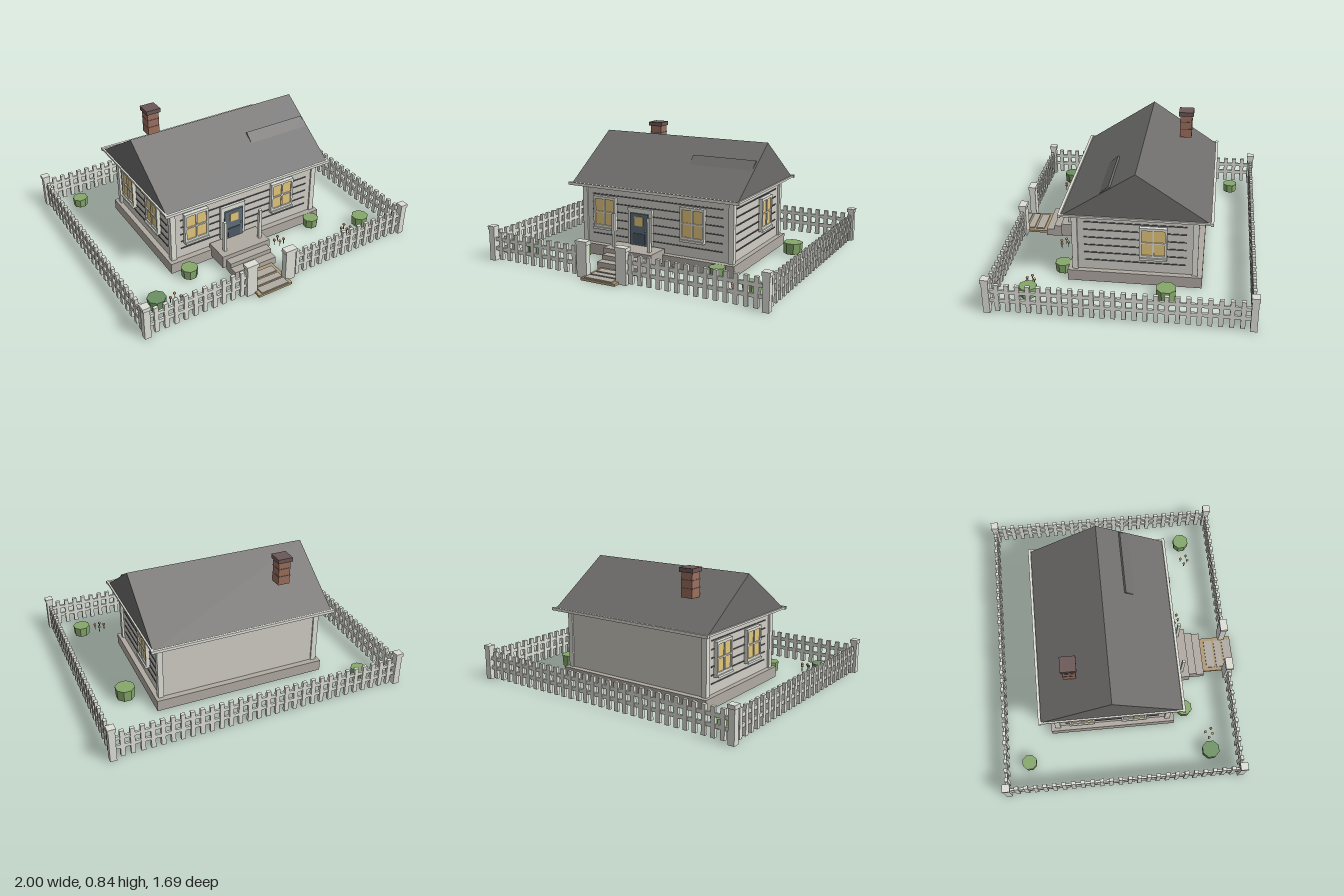
import * as THREE from 'three';

const C = {
  wall: 0xd0cdc5, trim: 0xdedfd6, roof: 0x6e6d6c, stone: 0xb0aaa2, line: 0x55565a, glass: 0xe3c67c,
  door: 0x5f6e7a, panel: 0x4d5a66, brick: 0x9c6f5c, cap: 0x6b5856, wood: 0xb09a74, leaf: 0x86a86c, darkLeaf: 0x6c9163,
};
const cache = {};
const mat = (color) => (cache[color] ??= new THREE.MeshStandardMaterial({ color, flatShading: true }));

function add(parent, name, geometry, color, x = 0, y = 0, z = 0) {
  const mesh = new THREE.Mesh(geometry, mat(color));
  mesh.name = name;
  mesh.position.set(x, y, z);
  parent.add(mesh);
  return mesh;
}

// Box given by its extents on each axis
function box(parent, name, color, x0, x1, y0, y1, z0, z1) {
  return add(parent, name, new THREE.BoxGeometry(x1 - x0, y1 - y0, z1 - z0), color,
    (x0 + x1) / 2, (y0 + y1) / 2, (z0 + z1) / 2);
}

function group(parent, name, x = 0, y = 0, z = 0, turn = 0) {
  const g = new THREE.Group();
  g.name = name;
  g.position.set(x, y, z);
  g.rotation.y = turn;
  parent.add(g);
  return g;
}

// Triangular prism with its ridge along x
function gable(parent, name, x0, x1, zMid, halfDepth, y0, y1) {
  const s = new THREE.Shape([
    new THREE.Vector2(-halfDepth, y0), new THREE.Vector2(halfDepth, y0), new THREE.Vector2(0, y1),
  ]);
  const g = new THREE.ExtrudeGeometry(s, { depth: x1 - x0, bevelEnabled: false });
  g.rotateY(Math.PI / 2);
  return add(parent, name, g, C.roof, x0, 0, zMid);
}

// Window facing local +z, origin at its centre on the wall
function windowUnit(parent, x, z, turn) {
  const w = group(parent, 'window', x, 0.3, z, turn);
  box(w, 'windowPane', C.glass, -0.073, 0.073, -0.092, 0.092, 0, 0.018);
  for (const s of [-1, 1]) {
    box(w, 'windowSideFrame', C.trim, s * 0.08 - 0.007, s * 0.08 + 0.007, -0.105, 0.105, 0, 0.026);
    box(w, 'windowRail', C.trim, -0.087, 0.087, s * 0.098 - 0.009, s * 0.098 + 0.009, 0, 0.026);
  }
  box(w, 'windowMullion', C.trim, -0.005, 0.005, -0.092, 0.092, 0, 0.025);
  box(w, 'windowCrossbar', C.trim, -0.075, 0.075, -0.005, 0.005, 0, 0.025);
  box(w, 'windowSill', C.trim, -0.087, 0.087, -0.12, -0.105, 0, 0.035);
}

function buildHouse(root) {
  const h = group(root, 'house');
  box(h, 'foundation', C.stone, -0.585, 0.585, 0, 0.075, -0.505, 0.355);
  box(h, 'walls', C.wall, -0.55, 0.55, 0.075, 0.485, -0.465, 0.315);
  for (const x of [-0.547, 0.547]) for (const z of [-0.457, 0.307])
    box(h, 'cornerBoard', C.trim, x - 0.018, x + 0.018, 0.075, 0.485, z - 0.018, z + 0.018);

  // Siding grooves on the front and both ends
  for (let i = 0; i < 6; i++) {
    const y = 0.417 - i * 0.055;
    box(h, 'frontSidingLine', C.line, -0.49, 0.49, y - 0.004, y + 0.004, 0.312, 0.319);
    for (const x of [-0.55, 0.55])
      box(h, 'endSidingLine', C.line, x - 0.004, x + 0.004, y - 0.004, y + 0.004, -0.4, 0.25);
  }

  // Roof with a small low gable pushed through the front slope
  gable(h, 'mainRoof', -0.615, 0.612, -0.083, 0.467, 0.48, 0.79);
  gable(h, 'smallRoof', 0.155, 0.6, 0.08, 0.245, 0.467, 0.698);
  for (const z of [-0.553, 0.388])
    box(h, 'eaveBoard', C.trim, -0.63, 0.627, 0.476, 0.495, z - 0.009, z + 0.009);
  for (const x of [-0.619, 0.616])
    box(h, 'gableBoard', C.trim, x - 0.007, x + 0.007, 0.48, 0.493, -0.55, 0.385);

  windowUnit(h, -0.383, 0.315, 0);
  windowUnit(h, 0.28, 0.315, 0);
  windowUnit(h, 0.55, -0.192, Math.PI / 2);
  for (const z of [-0.285, 0.07]) windowUnit(h, -0.55, z, -Math.PI / 2);

  // Front door
  const d = group(h, 'door', -0.107, 0, 0.315);
  box(d, 'doorFrame', C.trim, -0.092, 0.092, 0.11, 0.357, 0, 0.02);
  box(d, 'doorLeaf', C.door, -0.069, 0.069, 0.11, 0.325, 0, 0.032);
  box(d, 'doorPane', C.glass, -0.031, 0.031, 0.243, 0.305, 0, 0.038);
  box(d, 'doorPanel', C.panel, -0.045, 0.045, 0.12, 0.19, 0, 0.038);
  add(d, 'doorKnob', new THREE.SphereGeometry(0.007, 8, 6), C.glass, 0.052, 0.215, 0.038);

  // Chimney
  const c = group(h, 'chimney', -0.347, 0, -0.333);
  box(c, 'chimneyStack', C.brick, -0.041, 0.041, 0.65, 0.815, -0.041, 0.041);
  for (const y of [0.71, 0.762]) box(c, 'chimneyCourse', C.cap, -0.043, 0.043, y - 0.003, y + 0.003, -0.043, 0.043);
  box(c, 'chimneyCap', C.cap, -0.051, 0.051, 0.81, 0.838, -0.051, 0.051);
}

function buildPorch(root) {
  const p = group(root, 'porch', -0.105);
  box(p, 'landing', C.stone, -0.18, 0.18, 0.02, 0.11, 0.33, 0.5);
  box(p, 'upperStep', C.stone, -0.155, 0.155, 0, 0.08, 0.5, 0.555);
  box(p, 'lowerStep', C.stone, -0.155, 0.155, 0, 0.05, 0.555, 0.612);
  for (const x of [-0.134, 0.134]) box(p, 'porchPost', C.trim, x - 0.01, x + 0.01, 0.1, 0.335, 0.435, 0.455);
  box(p, 'path', C.wood, -0.125, 0.125, 0, 0.016, 0.6, 0.838);
  for (const [z0, z1] of [[0.643, 0.7], [0.715, 0.762], [0.775, 0.832]])
    box(p, 'pathSlab', C.stone, -0.1, 0.1, 0.01, 0.024, z0, z1);
}

// Fence run along local x between two post centres
function fenceRun(root, x, z, length, turn) {
  const f = group(root, 'fenceRun', x, 0, z, turn);
  for (const y of [0.083, 0.147]) box(f, 'fenceRail', C.trim, 0, length, y - 0.012, y + 0.012, -0.007, 0.007);
  const n = Math.round(length / 0.0635);
  for (let i = 1; i < n; i++) {
    const px = (i * length) / n;
    box(f, 'picket', C.trim, px - 0.014, px + 0.014, 0.012, 0.196, -0.011, 0.011);
  }
}

function fencePost(root, x, z, halfWidth) {
  const p = group(root, 'fencePost', x, 0, z);
  box(p, 'postShaft', C.trim, -halfWidth + 0.005, halfWidth - 0.005, 0, 0.215, -0.021, 0.021);
  box(p, 'postCap', C.trim, -halfWidth, halfWidth, 0.21, 0.235, -0.026, 0.026);
}

function buildFence(root) {
  const X = 0.974, back = -0.823, front = 0.772;
  fenceRun(root, -X, back, 2 * X, 0);
  for (const x of [-X, X]) {
    fenceRun(root, x, front, front - back, Math.PI / 2);
    for (const z of [back, front]) fencePost(root, x, z, 0.026);
  }
  fenceRun(root, -X, front, X - 0.252, 0);
  fenceRun(root, 0.036, front, X - 0.036, 0);
  for (const x of [-0.252, 0.036]) fencePost(root, x, front, 0.042);
}

function buildGarden(root) {
  const bushes = [[-0.785, -0.67, 0.052], [0.73, -0.29, 0.066], [-0.497, 0.435, 0.056],
    [0.49, 0.4, 0.054], [-0.81, 0.585, 0.061], [0.795, 0.565, 0.058]];
  bushes.forEach(([x, z, r], i) => {
    const h = r * 1.15;
    const g = new THREE.CylinderGeometry(r, r * 0.93, h, 8);
    add(root, 'bush', g, i === 4 ? C.darkLeaf : C.leaf, x, 0.012 + h / 2, z).rotation.y = Math.PI / 8;
  });
  // Flower clusters
  for (const [cx, cz] of [[-0.685, 0.588], [0.187, 0.447], [0.66, 0.575]]) {
    const f = group(root, 'flowers', cx, 0, cz);
    [[-0.034, 0.002], [0.007, -0.02], [0.028, 0.022], [-0.008, 0.03]].forEach(([x, z], i) => {
      add(f, 'flowerStem', new THREE.CylinderGeometry(0.003, 0.003, 0.035, 5), C.darkLeaf, x, 0.0175, z);
      add(f, 'flowerHead', new THREE.SphereGeometry(0.01, 8, 6), i % 2 ? 0xd9a56a : 0xc98f86, x, 0.04, z);
    });
  }
}

export function createModel() {
  const root = new THREE.Group();
  root.name = 'cottage';
  buildHouse(root);
  buildPorch(root);
  buildFence(root);
  buildGarden(root);
  return root;
}
